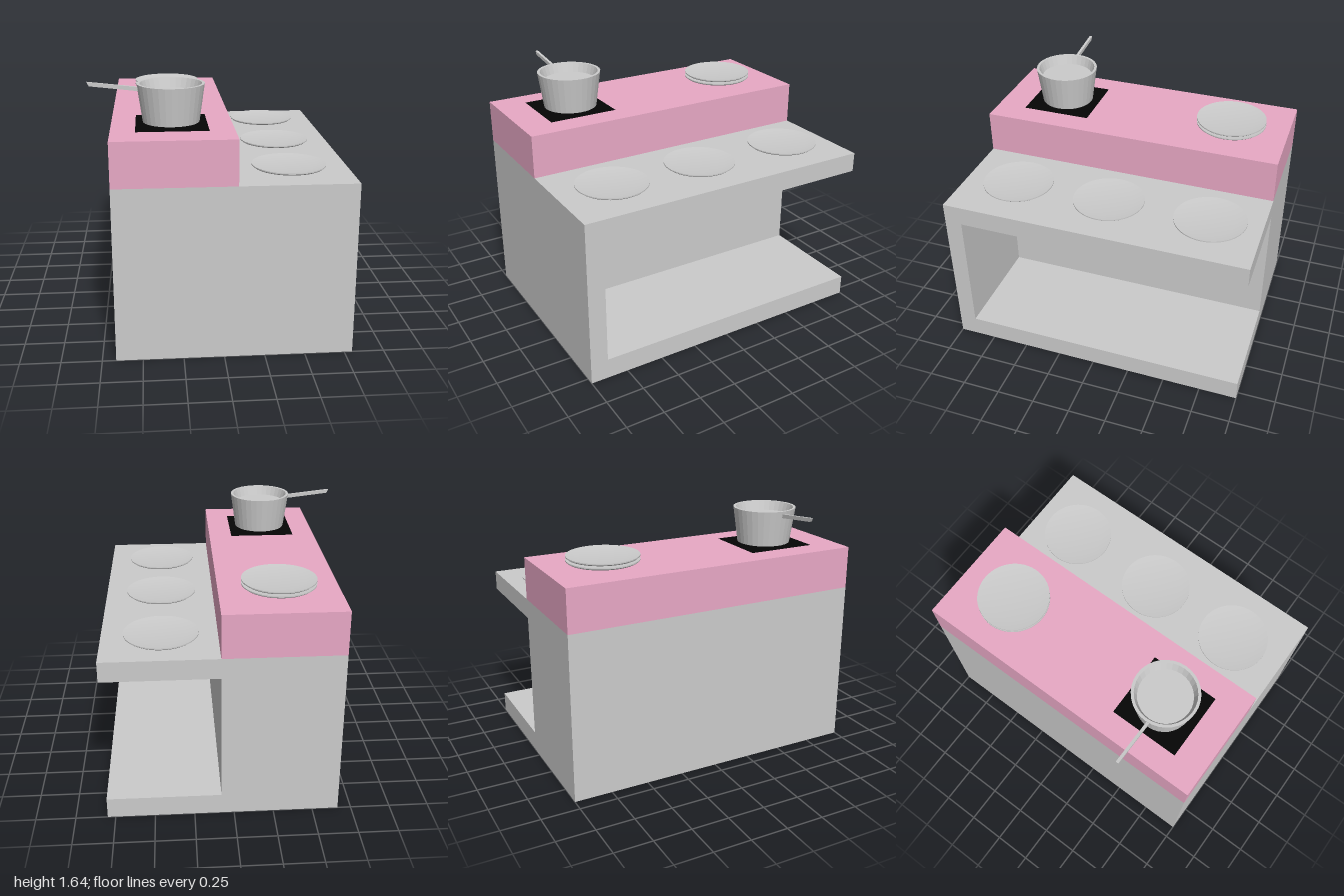
import * as THREE from 'three';
import { toCreasedNormals } from 'three/addons/utils/BufferGeometryUtils.js';

const grey = new THREE.MeshStandardMaterial({ color: 0xcccccc });
const flatGrey = new THREE.MeshStandardMaterial({ color: 0xcccccc, flatShading: true });
const pink = new THREE.MeshStandardMaterial({ color: 0xe8a8c5 });
const black = new THREE.MeshStandardMaterial({ color: 0x050505 });

function add(parent, name, geometry, material, x = 0, y = 0, z = 0) {
  const mesh = new THREE.Mesh(geometry, material);
  mesh.name = name;
  mesh.position.set(x, y, z);
  parent.add(mesh);
  return mesh;
}

// Box given by its minimum and maximum corners
function addBox(parent, name, material, [x0, y0, z0], [x1, y1, z1]) {
  const geometry = new THREE.BoxGeometry(x1 - x0, y1 - y0, z1 - z0);
  return add(parent, name, geometry, material, (x0 + x1) / 2, (y0 + y1) / 2, (z0 + z1) / 2);
}

// Extrude an x-y outline along z from z0 to z1
function prism(points, z0, z1) {
  const shape = new THREE.Shape(points.map(([x, y]) => new THREE.Vector2(x, y)));
  const geometry = new THREE.ExtrudeGeometry(shape, { depth: z1 - z0, bevelEnabled: false });
  return geometry.translate(0, 0, z0);
}

function lathe(points, segments) {
  return new THREE.LatheGeometry(points.map(([r, y]) => new THREE.Vector2(r, y)), segments);
}

export function createModel() {
  const model = new THREE.Group();
  model.name = 'kitchenCounter';

  // Cabinet: C-shaped body with an open shelf, closed by a front panel
  const body = prism([
    [-0.665, 0], [0.8, 0], [0.8, 0.135], [0.08, 0.135],
    [0.08, 0.97], [0.8, 0.97], [0.8, 1.1], [-0.665, 1.1],
  ], -1, 0.885);
  add(model, 'cabinetBody', body, grey);
  addBox(model, 'cabinetFrontPanel', grey, [-0.665, 0, 0.885], [0.8, 1.1, 1]);

  // Raised pink worktop and the black hob on it
  addBox(model, 'raisedWorktop', pink, [-0.665, 1.1, -1], [0.08, 1.38, 1]);
  const hob = new THREE.PlaneGeometry(0.44, 0.46).rotateX(-Math.PI / 2);
  add(model, 'hob', hob, black, -0.295, 1.384, 0.57);

  // Plates: three along the counter, two stacked on the worktop
  const plate = toCreasedNormals(lathe([
    [0, 0], [0.222, 0], [0.232, 0.008], [0.232, 0.015], [0.165, 0.006], [0, 0.006],
  ], 48), 0.15);
  for (const z of [-0.67, 0, 0.635]) add(model, 'counterPlate', plate, grey, 0.43, 1.114, z);
  for (const y of [1.402, 1.428]) add(model, 'stackedPlate', plate, grey, -0.295, y, -0.615);

  // Saucepan with tapered wall, rim and inner floor
  const pan = new THREE.Group();
  pan.name = 'saucepan';
  model.add(pan);
  const pot = lathe([
    [0, 1.395], [0.175, 1.395], [0.208, 1.63], [0.19, 1.63], [0.17, 1.57], [0, 1.57],
  ], 32);
  add(pan, 'panBowl', pot, flatGrey, -0.295, 0, 0.565);
  const handle = prism([[-0.8, 1.645], [-0.787, 1.62], [-0.49, 1.586], [-0.49, 1.611]], 0.571, 0.589);
  add(pan, 'panHandle', handle, grey);

  return model;
}
